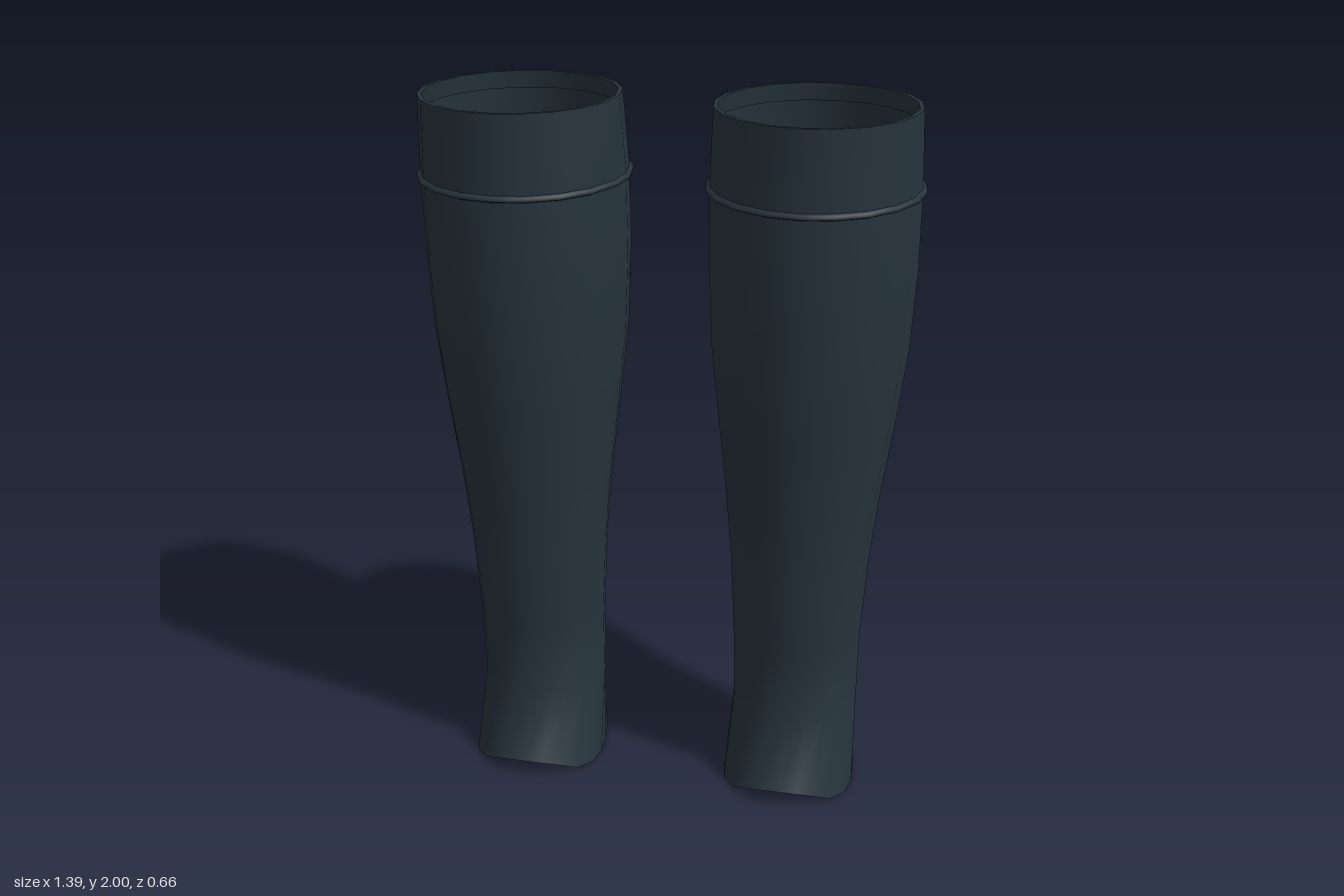
import * as THREE from 'three';

const SIDES = 20;
const fabric = new THREE.MeshStandardMaterial({ color: 0x26343c, side: THREE.DoubleSide });
fabric.name = 'dark slate fabric';

// Cross-sections from ankle to knee: height, centre x, half width, front z, back z
const SECTIONS = [
  [0.23, 0.385, 0.183, 0.17, -0.175],
  [0.45, 0.386, 0.186, 0.2, -0.19],
  [0.7, 0.389, 0.2, 0.217, -0.203],
  [0.9, 0.392, 0.22, 0.24, -0.232],
  [1.12, 0.396, 0.248, 0.272, -0.278],
  [1.33, 0.398, 0.272, 0.3, -0.315],
  [1.56, 0.4, 0.283, 0.315, -0.326],
  [1.78, 0.401, 0.284, 0.32, -0.31],
  [2.0, 0.404, 0.275, 0.32, -0.272],
];

// Half of the hem outline, front to back: x offset, z
const HEM = [[0, 0.275], [0.05, 0.268], [0.1, 0.245], [0.145, 0.205], [0.18, 0.16], [0.192, 0.09],
  [0.187, 0.02], [0.175, -0.055], [0.12, -0.1], [0.06, -0.132], [0, -0.135]];

// Oval loop, grown outward by grow, at height y
function oval([y0, cx, w, front, back], side, grow = 0, y = y0) {
  return Array.from({ length: SIDES }, (_, i) => {
    const t = (i / SIDES) * Math.PI * 2;
    return [side * cx + Math.sin(t) * (w + grow), y,
      (front + back) / 2 + Math.cos(t) * ((front - back) / 2 + grow)];
  });
}

// Hem loop that lifts over the instep
function hemLoop(side) {
  return Array.from({ length: SIDES }, (_, i) => {
    const back = i > SIDES / 2;
    const [x, z] = HEM[back ? SIDES - i : i];
    return [side * 0.383 + (back ? -x : x), Math.max(0, (z - 0.2) * 0.667), z];
  });
}

// Skin a stack of loops
function loft(name, loops) {
  const index = [];
  for (let r = 0; r < loops.length - 1; r++) {
    for (let i = 0; i < SIDES; i++) {
      const a = r * SIDES + i, b = r * SIDES + (i + 1) % SIDES;
      index.push(a, b, b + SIDES, a, b + SIDES, a + SIDES);
    }
  }
  const geometry = new THREE.BufferGeometry();
  geometry.setAttribute('position', new THREE.Float32BufferAttribute(loops.flat(2), 3));
  geometry.setIndex(index);
  geometry.computeVertexNormals();
  const mesh = new THREE.Mesh(geometry, fabric);
  mesh.name = name;
  return mesh;
}

function createSleeve(name, side) {
  const group = new THREE.Group();
  group.name = name;
  const top = SECTIONS[SECTIONS.length - 1];
  const knee = SECTIONS[SECTIONS.length - 2];

  // Open tube from hem to cuff
  group.add(loft('legTube', [hemLoop(side), ...SECTIONS.map((s) => oval(s, side))]));

  // Thin rim turned inward at the cuff
  group.add(loft('cuffRim', [oval(top, side), oval(top, side, -0.012)]));
  group.add(loft('cuffLining', [oval(top, side, -0.012), oval(top, side, -0.004, 1.95)]));

  // Raised seam below the cuff
  group.add(loft('cuffSeam', [[1.767, -0.002], [1.772, 0.011], [1.782, 0.011], [1.787, -0.002]]
    .map(([y, grow]) => oval(knee, side, grow, y))));
  return group;
}

export function createModel() {
  const model = new THREE.Group();
  model.name = 'legSleeves';
  model.add(createSleeve('leftSleeve', 1), createSleeve('rightSleeve', -1));
  return model;
}
